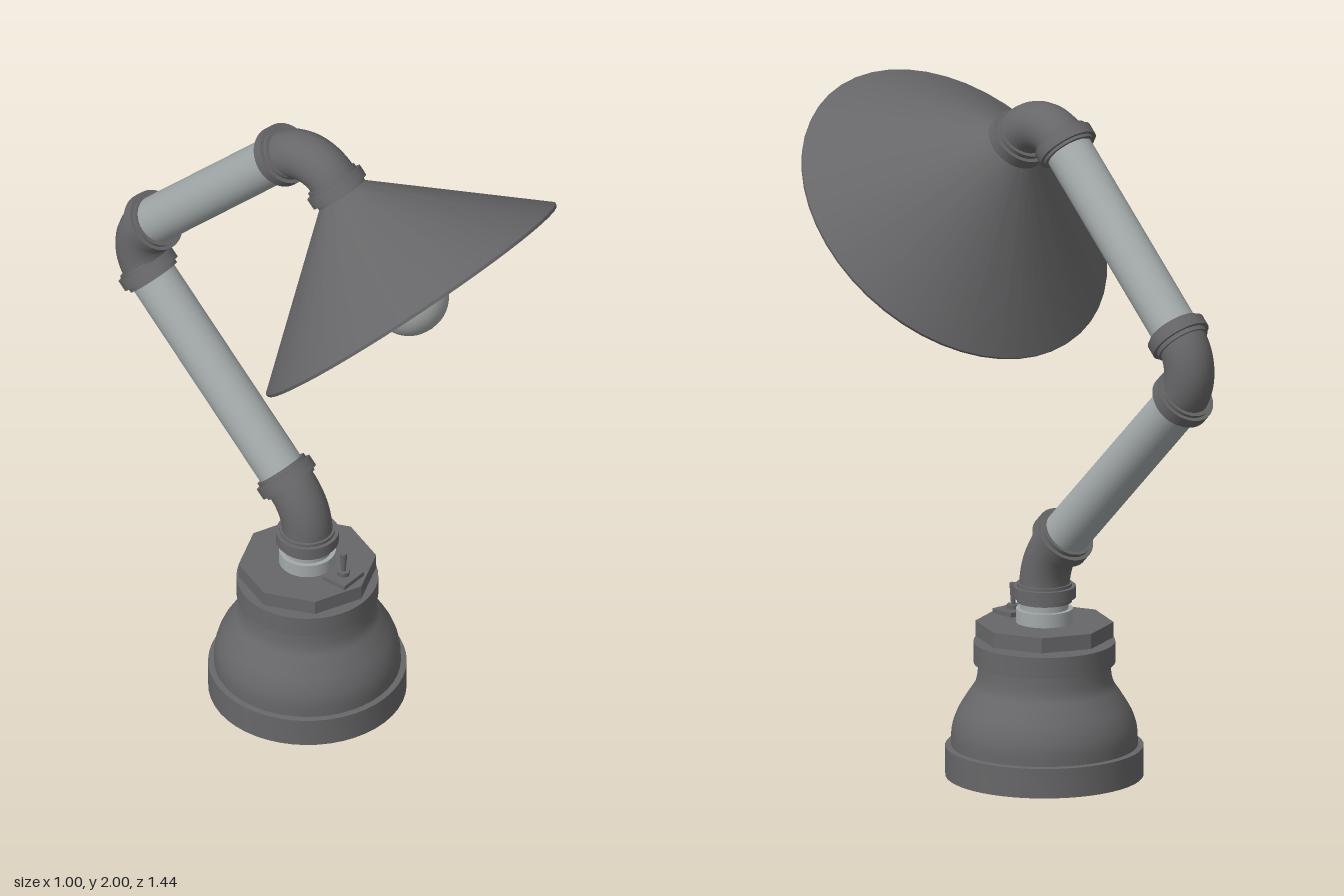
import * as THREE from 'three';
import { toCreasedNormals } from 'three/addons/utils/BufferGeometryUtils.js';

const mat = (name, color, side = THREE.FrontSide) => {
  const m = new THREE.MeshStandardMaterial({ color, side });
  m.name = name;
  return m;
};

export function createModel() {
  const iron = mat('dark iron', 0x676769);
  const shadeIron = iron;
  const steel = mat('galvanised steel', 0xa3a9aa);
  const glass = mat('bulb glass', 0xa6a9a8);

  const lamp = new THREE.Group();
  lamp.name = 'pipeLamp';

  const add = (parent, name, geo, material) => {
    const m = new THREE.Mesh(geo, material);
    m.name = name;
    parent.add(m);
    return m;
  };
  const lathe = (pts, seg = 48, crease = 0.6) =>
    toCreasedNormals(new THREE.LatheGeometry(pts.map(p => new THREE.Vector2(...p)), seg), crease);
  const cyl = (r, h, seg = 32) => new THREE.CylinderGeometry(r, r, h, seg);

  // group at (z, y) whose local +y points along (dz, dy)
  const frame = (name, z, y, dz, dy) => {
    const g = new THREE.Group();
    g.name = name;
    g.position.set(0, y, z);
    g.quaternion.setFromUnitVectors(new THREE.Vector3(0, 1, 0), new THREE.Vector3(0, dy, dz).normalize());
    lamp.add(g);
    return g;
  };

  // base: foot ring, bell and collar
  const base = new THREE.Group();
  base.name = 'base';
  base.position.z = -0.022;
  lamp.add(base);
  add(base, 'footRing', lathe([[0, 0], [0.287, 0], [0.287, 0.088], [0.268, 0.09], [0, 0.09]]), iron);
  const bell = new THREE.SplineCurve([
    [0.27, 0.088], [0.268, 0.14], [0.252, 0.19], [0.222, 0.24], [0.198, 0.28], [0.19, 0.34],
  ].map(p => new THREE.Vector2(...p)));
  add(base, 'bell', new THREE.LatheGeometry(bell.getPoints(20), 48), iron);
  add(base, 'collar', lathe([[0.18, 0.335], [0.205, 0.335], [0.205, 0.398], [0, 0.398]]), iron);
  add(base, 'plugNeck', cyl(0.085, 0.03), iron).position.y = 0.405;

  // octagonal plug with corners on the axes
  const plug = new THREE.CylinderGeometry(0.2, 0.2, 0.045, 8).toNonIndexed();
  plug.computeVertexNormals();
  add(base, 'octagonPlug', plug, iron).position.y = 0.433;

  // short steel nipple
  add(base, 'nippleWide', cyl(0.083, 0.042), steel).position.y = 0.475;
  add(base, 'nipple', cyl(0.07, 0.07), steel).position.y = 0.515;

  // toggle switch
  const toggle = new THREE.Group();
  toggle.name = 'toggleSwitch';
  toggle.position.set(0, 0.455, 0.112);
  lamp.add(toggle);
  add(toggle, 'switchPlate', new THREE.BoxGeometry(0.09, 0.014, 0.08), iron).position.y = 0.007;
  add(toggle, 'switchNut', cyl(0.02, 0.014, 6), iron).position.y = 0.02;
  add(toggle, 'switchLever', new THREE.CylinderGeometry(0.011, 0.006, 0.07, 12), iron).position.y = 0.055;

  // elbows: arc centre (z, y), bend radius, start angle, sweep
  const elbow = (name, z, y, R, start, sweep) => {
    const g = new THREE.TorusGeometry(R, 0.073, 24, 24, sweep);
    g.rotateZ(start).rotateY(-Math.PI / 2);
    add(lamp, name, g, iron).position.set(0, y, z);
  };
  const q = Math.PI / 4;
  elbow('lowerElbow', -0.222, 0.559, 0.2, 0, q);
  elbow('middleElbow', -0.511, 1.315, 0.13, 3 * q, 2 * q);
  elbow('upperElbow', -0.018, 1.8, 0.13, q, 2 * q);

  // flanged collars at the elbow ends
  const flange = lathe([
    [0, -0.03], [0.08, -0.03], [0.08, -0.017], [0.091, -0.017],
    [0.091, 0.017], [0.08, 0.017], [0.08, 0.026], [0, 0.026],
  ]);
  [
    ['lowerFlange', -0.022, 0.546, 0, 1],
    ['armFootFlange', -0.1, 0.72, 1, -1],
    ['armTopFlange', -0.613, 1.233, -1, 1],
    ['forearmFootFlange', -0.594, 1.414, 1, 1],
    ['forearmTopFlange', -0.112, 1.894, -1, -1],
    ['headFlange', 0.087, 1.873, 1, -1],
  ].forEach(([name, ...f]) => add(frame(name, ...f), name + 'Ring', flange, iron));

  // straight arm pipes
  const pipe = (name, z0, y0, z1, y1) => {
    const g = frame(name, (z0 + z1) / 2, (y0 + y1) / 2, z1 - z0, y1 - y0);
    add(g, name + 'Tube', cyl(0.07, Math.hypot(z1 - z0, y1 - y0)), steel);
  };
  pipe('lowerArm', -0.085, 0.704, -0.604, 1.223);
  pipe('upperArm', -0.604, 1.407, -0.11, 1.895);

  // lamp head, local +y runs from the top flange out through the shade
  const head = frame('head', 0.087, 1.873, 1, -1);
  add(head, 'shade', lathe([
    [0.07, 0.035], [0, 0.035], [0, 0.027], [0.078, 0.027], [0.496, 0.383],
    [0.502, 0.388], [0.5, 0.397], [0.49, 0.397], [0.07, 0.035],
  ].reverse(), 48, 0.5), shadeIron).geometry.index;
  add(head, 'socket', lathe([[0.065, 0.02], [0.065, 0.085], [0.058, 0.09], [0.058, 0.1],
    [0.065, 0.105], [0.065, 0.125], [0, 0.125]]), iron);
  const bulb = new THREE.SplineCurve([
    [0.045, 0.1], [0.05, 0.15], [0.07, 0.22], [0.1, 0.295], [0.117, 0.37],
    [0.108, 0.42], [0.083, 0.46], [0.045, 0.486], [0, 0.495],
  ].map(p => new THREE.Vector2(...p)));
  add(head, 'bulb', new THREE.LatheGeometry(bulb.getPoints(32), 32), glass);

  // shade walls are thin, so show both faces
  shadeIron.side = THREE.DoubleSide;
  return lamp;
}
